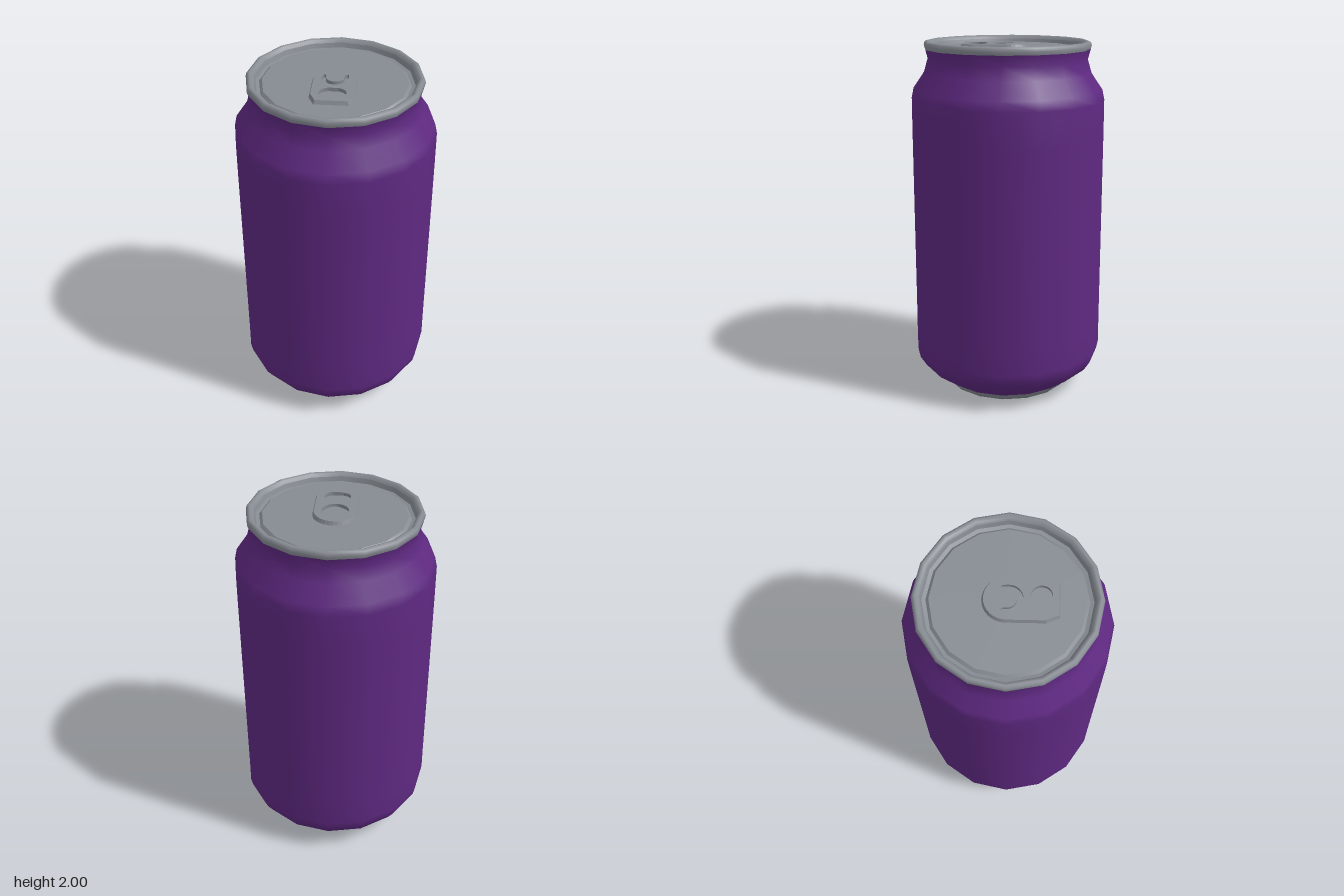
import * as THREE from 'three';

const SIDES = 16;

export function createModel() {
  const can = new THREE.Group();
  can.name = 'drinkCan';

  const purple = new THREE.MeshStandardMaterial({ name: 'purple paint', color: 0x5f2982 });
  const metal = new THREE.MeshStandardMaterial({ name: 'bare aluminium', color: 0x868b92 });

  // One smooth ring of surface; separate rings meet in a sharp crease
  function ring(name, material, profile) {
    const points = profile.map(([r, y]) => new THREE.Vector2(r, y));
    const mesh = new THREE.Mesh(new THREE.LatheGeometry(points, SIDES), material);
    mesh.name = name;
    can.add(mesh);
  }

  // Base
  ring('baseDisc', metal, [[0, 0.005], [0.34, 0.005]]);
  ring('baseRim', metal, [[0.34, 0.005], [0.352, 0.005], [0.37, 0.018], [0.385, 0.04]]);

  // Painted wall with its lower taper, shoulder and neck
  ring('body', purple, [
    [0.385, 0.04], [0.5, 0.125], [0.535, 0.18], [0.546, 0.23], [0.545, 0.38],
    [0.543, 1.5], [0.542, 1.68], [0.53, 1.735], [0.468, 1.825], [0.446, 1.9], [0.461, 1.957],
  ]);

  // Rolled rim and stepped lid
  ring('rimUnderside', metal, [[0.445, 1.957], [0.461, 1.957]]);
  ring('rim', metal, [
    [0.461, 1.957], [0.466, 1.975], [0.461, 1.993], [0.448, 2], [0.434, 1.995], [0.424, 1.98],
  ]);
  ring('rimInnerWall', metal, [[0.424, 1.98], [0.416, 1.955]]);
  ring('lidGroove', metal, [[0.416, 1.955], [0.397, 1.95]]);
  ring('lidStep', metal, [[0.397, 1.95], [0.382, 1.965]]);
  ring('lidPanel', metal, [[0.382, 1.965], [0, 1.965]]);

  // Pull tab outline; shape y runs towards the back
  const outline = new THREE.Shape();
  outline.moveTo(-0.088, -0.253);
  outline.lineTo(0.088, -0.253);
  outline.lineTo(0.118, -0.185);
  outline.absarc(0, 0.01, 0.118, 0, Math.PI, false);
  outline.lineTo(-0.118, -0.185);
  outline.closePath();

  // Finger hole
  const hole = new THREE.Path();
  hole.absarc(0.018, -0.163, 0.052, -Math.PI / 2, Math.PI / 2, false);
  hole.absarc(-0.018, -0.163, 0.052, Math.PI / 2, Math.PI * 1.5, false);
  hole.closePath();

  // U-shaped slot around the rivet
  const slot = new THREE.Path();
  slot.moveTo(-0.07, 0.03);
  slot.absarc(0, -0.004, 0.071, Math.PI, Math.PI * 2, false);
  slot.lineTo(0.07, 0.03);
  slot.lineTo(0.06, 0.036);
  slot.lineTo(0.048, 0.025);
  slot.absarc(0, 0.004, 0.048, 0, -Math.PI, true);
  slot.lineTo(-0.048, 0.025);
  slot.lineTo(-0.06, 0.036);
  slot.closePath();
  outline.holes.push(hole, slot);

  const thickness = 0.02;
  const tabGeometry = new THREE.ExtrudeGeometry(outline, { depth: thickness, bevelEnabled: false, curveSegments: 8 });

  // Draw the upper outer edge in slightly so the tab's sides slope
  const p = tabGeometry.attributes.position;
  for (let i = 0; i < p.count; i++) {
    const x = p.getX(i), y = p.getY(i);
    const outer = Math.abs(x) > 0.075 || y > 0.05 || y < -0.22;
    if (outer && p.getZ(i) > thickness / 2) p.setXY(i, x * 0.94, -0.06 + (y + 0.06) * 0.955);
  }
  tabGeometry.computeVertexNormals();
  tabGeometry.rotateX(-Math.PI / 2);

  const tab = new THREE.Mesh(tabGeometry, metal);
  tab.name = 'pullTab';
  tab.position.y = 1.965;
  can.add(tab);

  // Rest the foot on the ground
  const base = ['baseDisc', 'baseRim'].map((n) => can.getObjectByName(n));
  for (const mesh of base) {
    const q = mesh.geometry.attributes.position;
    for (let i = 0; i < q.count; i++) if (q.getY(i) < 0.01) q.setY(i, 0);
  }
  return can;
}
